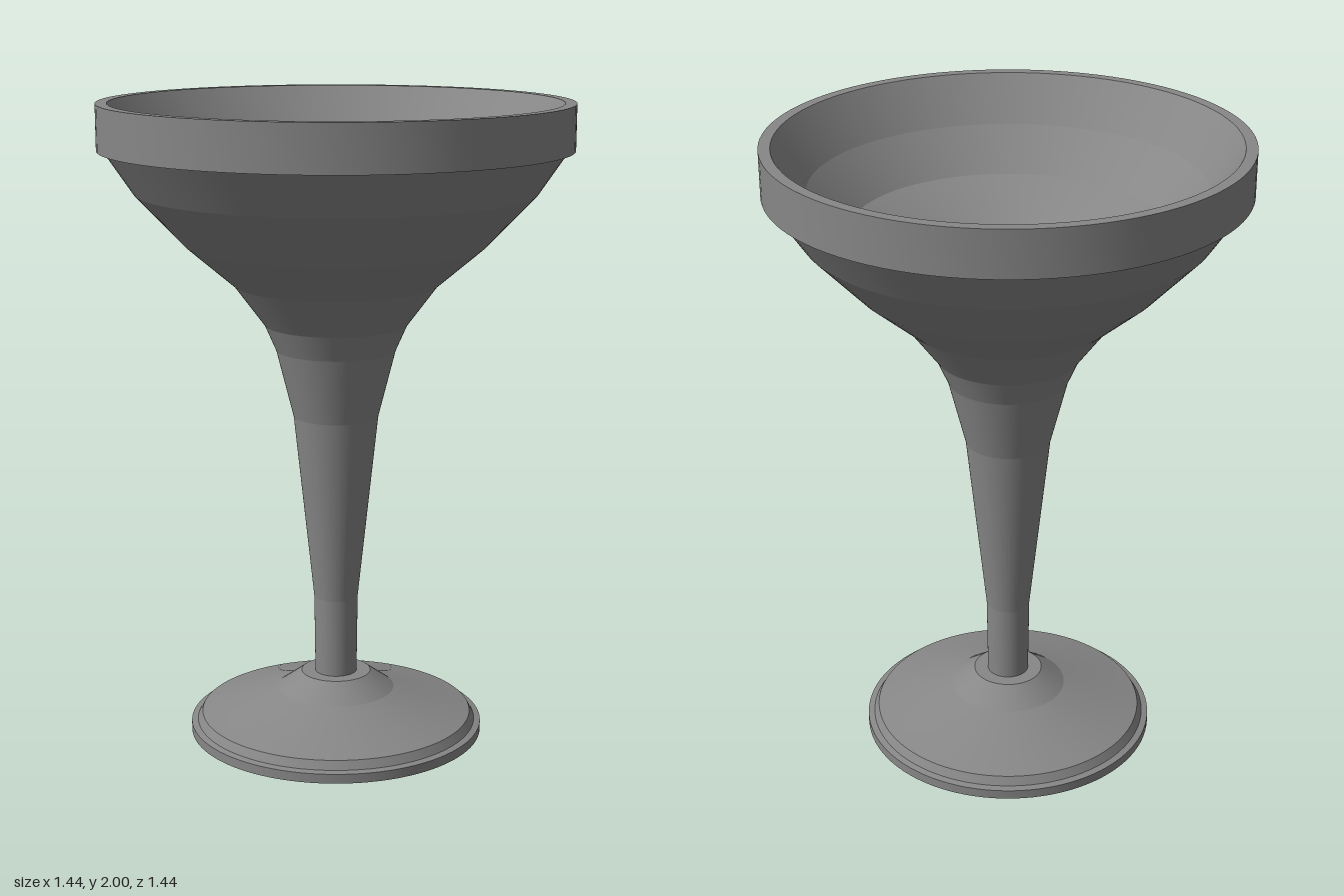
import * as THREE from 'three';
import { toCreasedNormals } from 'three/addons/utils/BufferGeometryUtils.js';

const SEGMENTS = 96;

// Turns a [radius, height] profile; bands stay crisp while the round stays smooth
function turned(name, profile, material) {
  const points = profile.map(([r, y]) => new THREE.Vector2(r, y));
  const geometry = toCreasedNormals(new THREE.LatheGeometry(points, SEGMENTS), 0.075);
  const mesh = new THREE.Mesh(geometry, material);
  mesh.name = name;
  return mesh;
}

export function createModel() {
  const group = new THREE.Group();
  group.name = 'goblet';
  const material = new THREE.MeshStandardMaterial({ color: 0x878787, side: THREE.DoubleSide });

  // Foot: thin disc, bevelled step, then a dome with a flat top
  group.add(turned('foot', [
    [0, 0], [0.465, 0], [0.465, 0.03], [0.445, 0.034], [0.43, 0.06],
    [0.3, 0.095], [0.185, 0.135], [0.11, 0.19], [0.065, 0.19],
  ], material));

  // Stem: slender column flaring up to the bowl
  group.add(turned('stem', [
    [0.066, 0.19], [0.069, 0.44], [0.132, 1.03], [0.185, 1.24], [0.22, 1.32],
  ], material));

  // Bowl outside
  group.add(turned('bowlOutside', [
    [0.22, 1.32], [0.313, 1.445], [0.46, 1.57], [0.612, 1.73], [0.70, 1.86],
  ], material));

  // Rim band with its flat lip
  group.add(turned('rim', [
    [0.70, 1.86], [0.72, 1.86], [0.72, 2], [0.685, 2],
  ], material));

  // Bowl inside, shallow towards the middle
  group.add(turned('bowlInside', [
    [0.685, 2], [0.59, 1.86], [0.47, 1.735], [0.24, 1.64], [0, 1.615],
  ], material));

  return group;
}
